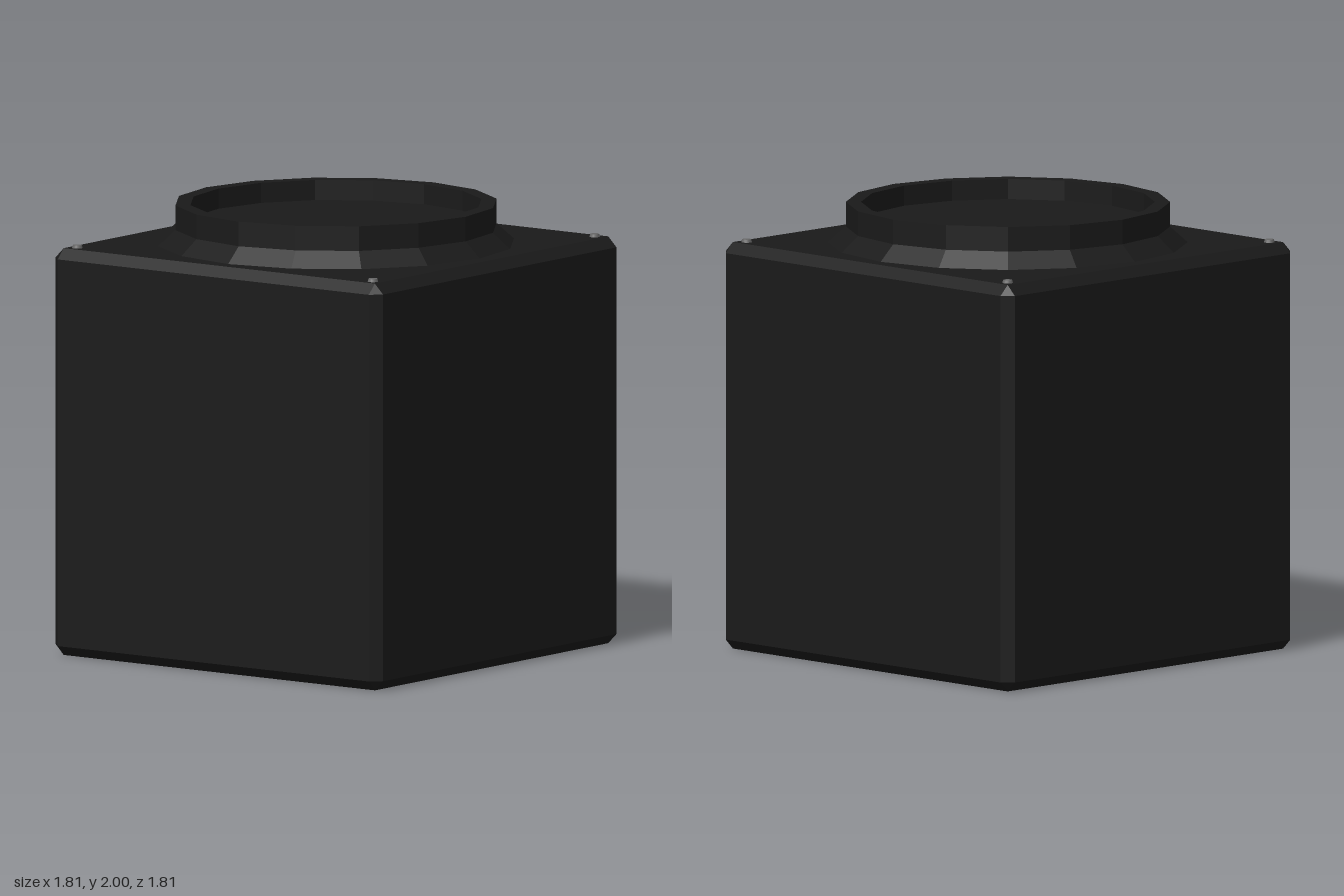
import * as THREE from 'three';
import { ConvexGeometry } from 'three/addons/geometries/ConvexGeometry.js';

const dark = new THREE.MeshStandardMaterial({ color: 0x1a1a1a, flatShading: true });
const darkOpen = new THREE.MeshStandardMaterial({ color: 0x1a1a1a, flatShading: true, side: THREE.DoubleSide });
const metal = new THREE.MeshStandardMaterial({ color: 0x666666 });

// Box with every edge cut at 45 degrees: three shrunken face corners per box corner
function chamferedBox(w, h, d, c) {
  const points = [];
  for (const sx of [-1, 1]) for (const sy of [-1, 1]) for (const sz of [-1, 1]) {
    const corner = [sx * w / 2, sy * h / 2, sz * d / 2];
    for (let face = 0; face < 3; face++) {
      points.push(new THREE.Vector3(...corner.map((v, axis) => (axis === face ? v : v - Math.sign(v) * c))));
    }
  }
  return new ConvexGeometry(points);
}

export function createModel() {
  const group = new THREE.Group();
  const add = (name, geometry, material, x = 0, y = 0, z = 0) => {
    const mesh = new THREE.Mesh(geometry, material);
    mesh.name = name;
    mesh.position.set(x, y, z);
    group.add(mesh);
  };

  const height = 1.82;
  add('body', chamferedBox(1.81, height, 1.81, 0.045), dark, 0, height / 2, 0);

  // Sixteen-sided collar: sloped foot, upright rim and shallow recessed floor
  const profile = [[0.795, height], [0.717, 1.89], [0.717, 2], [0.65, 2], [0.65, 1.91], [0, 1.91]]
    .map(([r, y]) => new THREE.Vector2(r, y));
  add('collar', new THREE.LatheGeometry(profile, 16), darkOpen);

  // Small studs in the four top corners
  const stud = new THREE.CylinderGeometry(0.02, 0.026, 0.02, 16);
  for (const x of [-0.817, 0.817]) for (const z of [-0.817, 0.817]) {
    add('cornerStud', stud, metal, x, height + 0.003, z);
  }
  return group;
}
